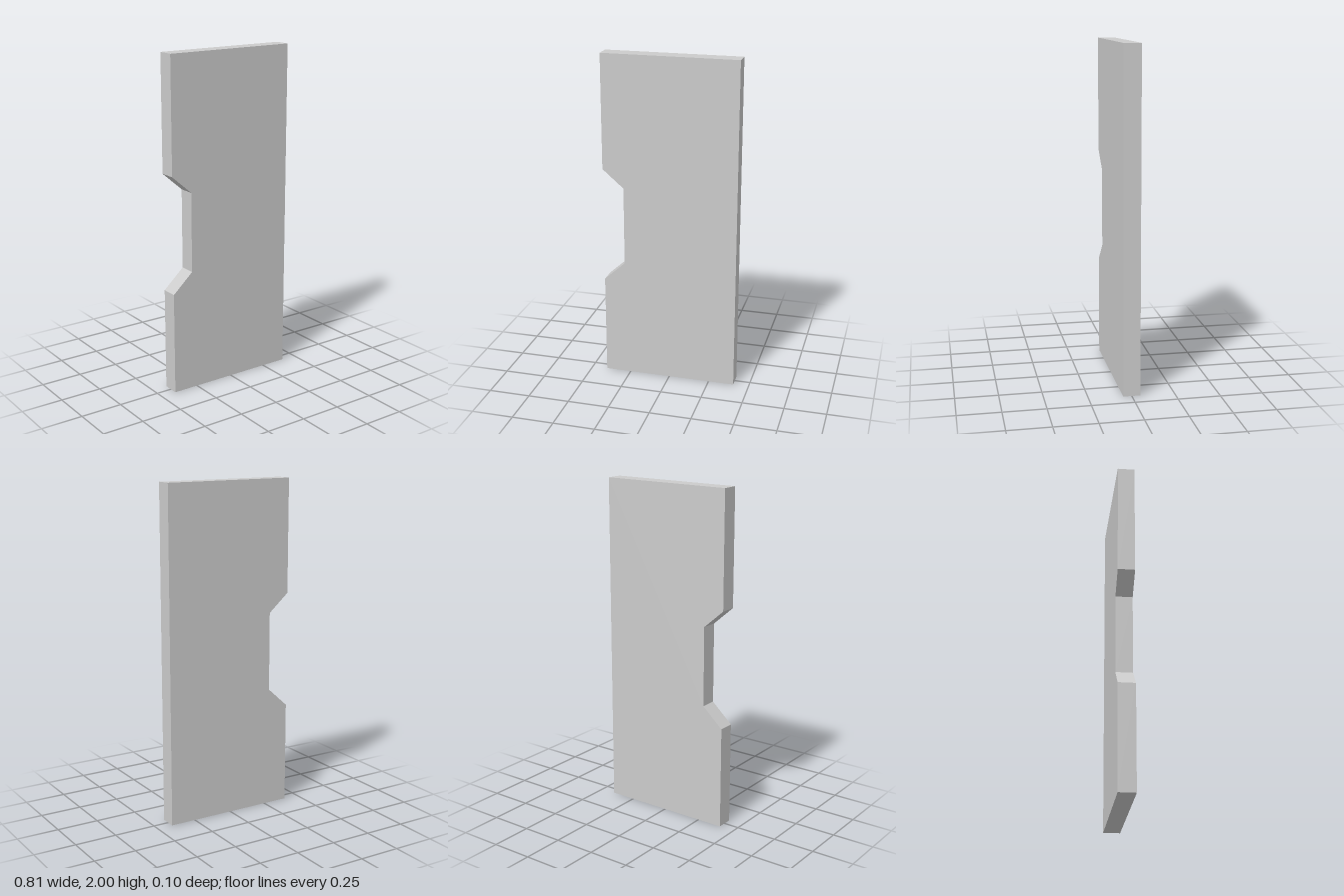
import * as THREE from 'three';

export function createModel() {
  const group = new THREE.Group();
  const halfWidth = 0.405, height = 2, depth = 0.1, notchX = -0.278;

  // Upright panel outline, with a tapered notch in its right edge
  const outline = new THREE.Shape([
    [-halfWidth, 0], [halfWidth, 0], [halfWidth, height], [-halfWidth, height],
    [-halfWidth, 1.315], [notchX, 1.205], [notchX, 0.73], [-halfWidth, 0.615],
  ].map(([x, y]) => new THREE.Vector2(x, y)));

  const geometry = new THREE.ExtrudeGeometry(outline, { depth, bevelEnabled: false });
  geometry.translate(0, 0, -depth / 2);

  const panel = new THREE.Mesh(
    geometry,
    new THREE.MeshStandardMaterial({ color: 0xcccccc, flatShading: true })
  );
  panel.name = 'notchedPanel';
  group.add(panel);
  return group;
}
